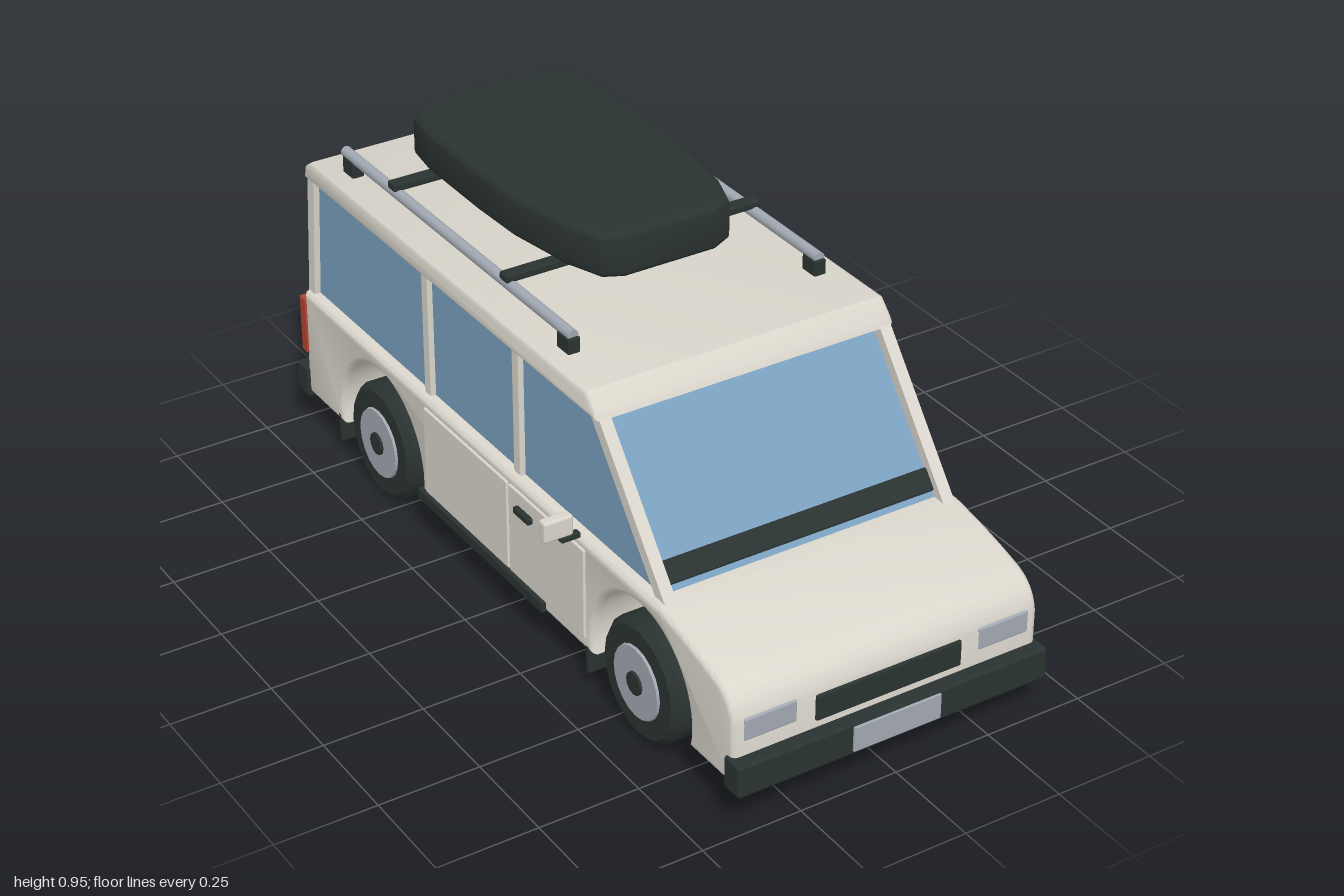
import * as THREE from 'three';
import { toCreasedNormals } from 'three/addons/utils/BufferGeometryUtils.js';
import { RoundedBoxGeometry } from 'three/addons/geometries/RoundedBoxGeometry.js';

const paint = (name, color) => Object.assign(new THREE.MeshStandardMaterial({ color }), { name });

export function createModel() {
  const van = new THREE.Group();
  van.name = 'van';
  const body = paint('cream paint', 0xdad6cc);
  const dark = paint('dark trim', 0x2a3331);
  const glass = paint('window glass', 0x7ba1c0);
  const silver = paint('silver', 0xa2a9b2);
  const red = paint('tail lamp red', 0xb3422f);

  const add = (name, geo, mat, x = 0, y = 0, z = 0, parent = van) => {
    const m = new THREE.Mesh(geo, mat);
    m.name = name;
    m.position.set(x, y, z);
    parent.add(m);
    return m;
  };
  // Box given by its size and centre
  const box = (name, mat, w, h, d, x, y, z, r = 0.005) =>
    add(name, r ? new RoundedBoxGeometry(w, h, d, 2, r) : new THREE.BoxGeometry(w, h, d), mat, x, y, z);
  // Straight bar between two points
  const bar = (name, mat, a, b, w, d) => {
    const p = new THREE.Vector3(...a), q = new THREE.Vector3(...b);
    const m = add(name, new THREE.BoxGeometry(w, p.distanceTo(q), d), mat);
    m.position.copy(p).lerp(q, 0.5);
    m.quaternion.setFromUnitVectors(new THREE.Vector3(0, 1, 0), q.sub(p).normalize());
    return m;
  };
  // Side profile (z, y) extruded across the width with rounded edges
  const across = (shape, halfWidth, bevel) => {
    const g = new THREE.ExtrudeGeometry(shape, {
      depth: 2 * (halfWidth - bevel), curveSegments: 16, bevelEnabled: bevel > 0,
      bevelThickness: bevel, bevelSize: bevel, bevelOffset: -bevel, bevelSegments: 3,
    });
    g.translate(0, 0, -(halfWidth - bevel)).rotateY(-Math.PI / 2);
    return toCreasedNormals(g, 0.6);
  };
  const polygon = (pts) => new THREE.Shape(pts.map((p) => new THREE.Vector2(...p)));

  // Lower body with wheel arches
  const axles = [0.595, -0.57], arch = 0.2, floor = 0.1;
  const lower = new THREE.Shape();
  lower.moveTo(-0.955, floor);
  for (const z of [...axles].reverse()) {
    const a = Math.asin((0.15 - floor) / arch);
    lower.lineTo(z - arch * Math.cos(a), floor);
    lower.absarc(z, 0.15, arch, Math.PI + a, -a, true);
  }
  lower.lineTo(0.96, floor);
  lower.lineTo(0.96, 0.25);
  lower.quadraticCurveTo(0.95, 0.32, 0.88, 0.34);
  lower.quadraticCurveTo(0.78, 0.37, 0.66, 0.388);
  lower.lineTo(-0.95, 0.388);
  add('lowerBody', across(lower, 0.4, 0.014), body);

  // Cabin glass and roof
  add('cabinGlass', across(polygon([[0.65, 0.37], [0.37, 0.72], [-0.905, 0.72], [-0.935, 0.37]]), 0.368, 0), glass);
  add('roof', across(polygon([[0.41, 0.71], [0.4, 0.73], [0.365, 0.765], [-0.9, 0.762], [-0.925, 0.745], [-0.932, 0.71]]), 0.392, 0.012), body);

  for (const s of [1, -1]) {
    // Window pillars
    bar('frontPillar', body, [s * 0.368, 0.375, 0.66], [s * 0.368, 0.725, 0.38], 0.03, 0.03);
    bar('rearPillar', body, [s * 0.368, 0.375, -0.938], [s * 0.368, 0.725, -0.91], 0.032, 0.03);
    for (const z of [0.05, -0.36]) box('sidePillar', body, 0.03, 0.35, 0.032, s * 0.366, 0.55, z);

    // Doors, handles and sills
    box('frontDoor', body, 0.012, 0.235, 0.325, s * 0.4, 0.25, 0.212, 0.004);
    box('rearDoor', body, 0.012, 0.235, 0.385, s * 0.4, 0.25, -0.15, 0.004);
    box('doorHandle', dark, 0.016, 0.018, 0.068, s * 0.412, 0.325, 0.125);
    box('sill', dark, 0.03, 0.03, 0.575, s * 0.397, 0.115, -0.088);

    // Mirrors
    box('mirrorArm', dark, 0.05, 0.016, 0.02, s * 0.42, 0.392, 0.34);
    box('mirror', body, 0.075, 0.053, 0.028, s * 0.453, 0.428, 0.34, 0.007);

    // Lamps
    box('headlight', silver, 0.134, 0.056, 0.02, s * 0.306, 0.236, 0.953);
    box('tailLamp', red, 0.055, 0.155, 0.03, s * 0.377, 0.293, -0.955);

    // Mud flaps
    for (const z of [0.378, -0.787]) box('mudFlap', dark, 0.1, 0.075, 0.01, s * 0.35, 0.08, z, 0);

    // Roof rails
    const rail = add('roofRail', new THREE.CylinderGeometry(0.014, 0.014, 1.04, 12), silver, s * 0.325, 0.806, -0.31);
    rail.rotation.x = Math.PI / 2;
    for (const z of [0.19, -0.795]) box('railFoot', dark, 0.032, 0.045, 0.052, s * 0.325, 0.78, z);

    // Wheels
    for (const z of axles) {
      const wheel = new THREE.Group();
      wheel.name = 'wheel';
      wheel.position.set(s * 0.35, 0.15, z);
      wheel.rotation.z = -s * Math.PI / 2;
      van.add(wheel);
      const tread = [[0, -0.055], [0.135, -0.055], [0.15, -0.038], [0.15, 0.038], [0.135, 0.055], [0, 0.055]];
      const tyre = new THREE.LatheGeometry(tread.map((p) => new THREE.Vector2(...p)), 20);
      add('tyre', toCreasedNormals(tyre, 0.5), dark, 0, 0, 0, wheel);
      add('rim', new THREE.CylinderGeometry(0.088, 0.092, 0.01, 20), silver, 0, 0.056, 0, wheel);
      add('hubCap', new THREE.CylinderGeometry(0.028, 0.03, 0.012, 12), dark, 0, 0.061, 0, wheel);
    }
  }

  // Sliding door track and handle on the left side only
  box('slidingTrack', dark, 0.012, 0.013, 0.5, 0.402, 0.373, -0.61, 0.004);
  box('slidingDoorHandle', dark, 0.016, 0.018, 0.068, 0.412, 0.325, 0);

  // Front end
  box('frontBumper', dark, 0.816, 0.082, 0.06, 0, 0.13, 0.965, 0.008);
  box('frontPlate', silver, 0.23, 0.064, 0.009, 0, 0.132, 0.996, 0.002);
  box('grille', dark, 0.382, 0.066, 0.022, 0, 0.222, 0.955);
  const cowl = box('cowl', dark, 0.7, 0.055, 0.02, 0, 0.425, 0.615);
  cowl.rotation.x = -0.68;

  // Rear end
  box('rearBumper', dark, 0.816, 0.082, 0.06, 0, 0.13, -0.97, 0.008);
  box('tailgate', body, 0.66, 0.215, 0.016, 0, 0.285, -0.955, 0.004);
  box('rearPlate', silver, 0.22, 0.06, 0.009, 0, 0.27, -0.965, 0.002);
  box('tailgateHandle', dark, 0.12, 0.018, 0.016, 0, 0.348, -0.967);
  const pivot = add('wiperPivot', new THREE.CylinderGeometry(0.018, 0.018, 0.035, 12), dark, 0, 0.43, -0.945);
  pivot.rotation.x = Math.PI / 2;
  bar('rearWiper', dark, [0, 0.43, -0.958], [-0.16, 0.61, -0.948], 0.012, 0.01);

  // Crossbars and cargo box
  for (const z of [-0.065, -0.58]) box('crossbar', dark, 0.68, 0.02, 0.034, 0, 0.825, z);
  const half = [[0.12, -0.1], [0.17, -0.075], [0.205, 0.02], [0.235, 0.2], [0.24, 0.35],
    [0.238, 0.58], [0.225, 0.67], [0.19, 0.71], [0.12, 0.72]];
  const outline = polygon([...half, ...half.map(([x, y]) => [-x, y]).reverse()]);
  const cargo = new THREE.ExtrudeGeometry(outline, {
    depth: 0.075, bevelThickness: 0.015, bevelSize: 0.016, bevelOffset: -0.016, bevelSegments: 3,
  });
  cargo.rotateX(-Math.PI / 2).translate(0, 0.85, 0);
  // Dome the lid slightly
  const p = cargo.attributes.position;
  for (let i = 0; i < p.count; i++) {
    if (p.getY(i) > 0.9) p.setY(i, p.getY(i) + 0.008 * (1 - (p.getX(i) / 0.24) ** 2));
  }
  add('cargoBox', toCreasedNormals(cargo, 0.6), dark);

  return van;
}
